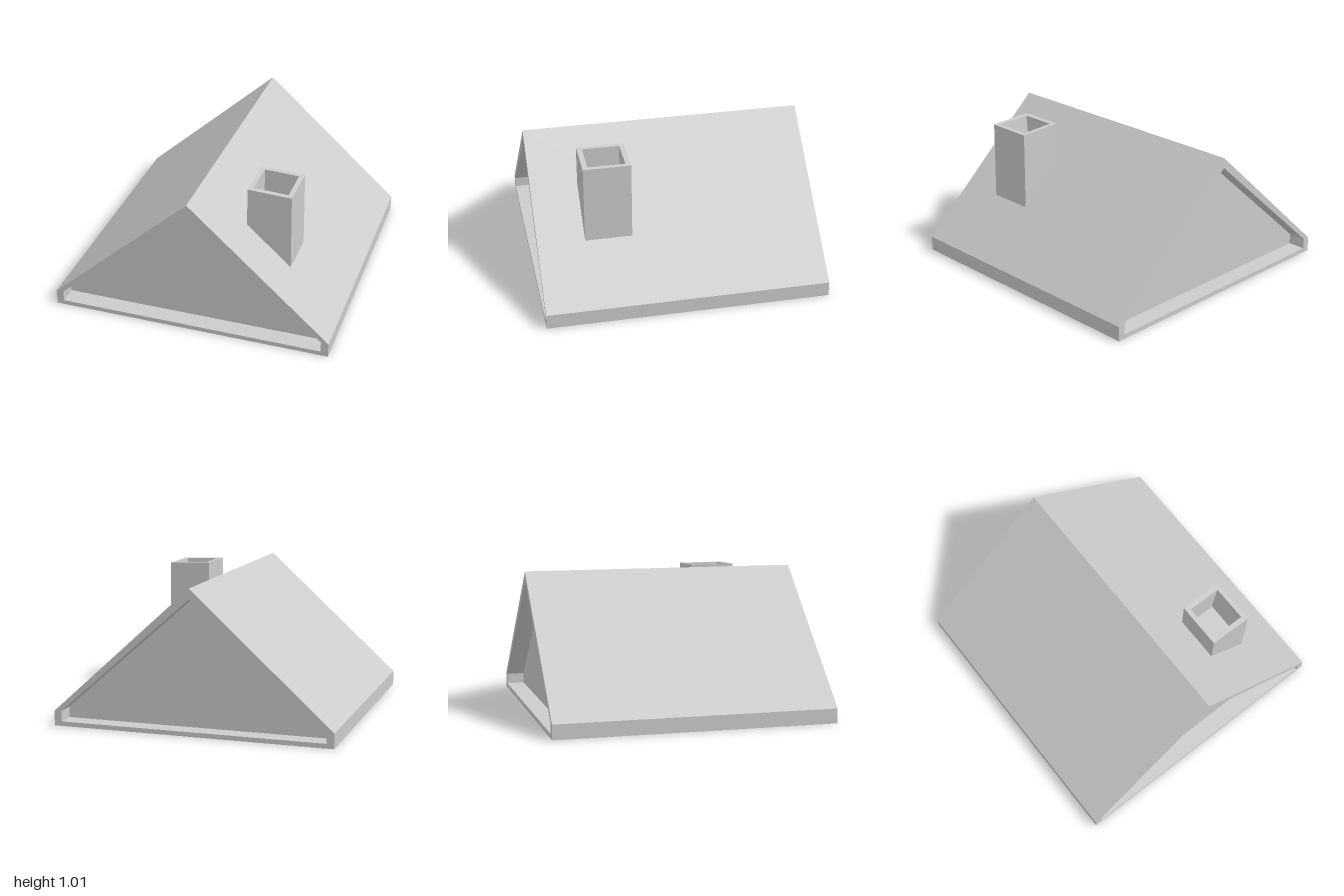
import * as THREE from 'three';

const material = new THREE.MeshStandardMaterial({ color: 0xcccccc, flatShading: true });

// Joins convex rings (counter-clockwise about the axis) into a closed, hard-edged skin.
function loft(name, rings) {
  const pos = [];
  const tri = (...corners) => corners.forEach((p) => pos.push(...p));
  const n = rings[0].length;
  for (let r = 0; r < rings.length - 1; r++) {
    const a = rings[r], b = rings[r + 1];
    for (let i = 0; i < n; i++) {
      const j = (i + 1) % n;
      tri(a[i], a[j], b[j]);
      tri(a[i], b[j], b[i]);
    }
  }
  // end caps
  const first = rings[0], last = rings[rings.length - 1];
  for (let i = 1; i < n - 1; i++) {
    tri(first[0], first[i + 1], first[i]);
    tri(last[0], last[i], last[i + 1]);
  }
  const geometry = new THREE.BufferGeometry();
  geometry.setAttribute('position', new THREE.Float32BufferAttribute(pos, 3));
  geometry.computeVertexNormals();
  const mesh = new THREE.Mesh(geometry, material);
  mesh.name = name;
  return mesh;
}

// Gable outline at depth z
const gable = (halfWidth, base, eave, ridge, z) => [
  [-halfWidth, base, z], [halfWidth, base, z], [halfWidth, eave, z], [0, ridge, z], [-halfWidth, eave, z],
];

// Rectangle whose height may differ between its left and right edges
const rect = (x0, x1, z0, z1, yA, yB = yA) => [
  [x0, yA, z1], [x1, yB, z1], [x1, yB, z0], [x0, yA, z0],
];

export function createModel() {
  const model = new THREE.Group();
  model.name = 'gableRoof';

  // Roof with a recessed panel in each gable end
  const outer = (z) => gable(1, 0, 0.105, 1.012, z);
  const inner = (z) => gable(0.947, 0.032, 0.108, 0.94, z);
  const recess = 0.87;
  model.add(loft('roof', [inner(-recess), inner(-1), outer(-1), outer(1), inner(1), inner(recess)]));

  // Chimney with a slightly tilted rim and a tapering flue
  model.add(loft('chimney', [
    rect(0.317, 0.633, 0.335, 0.667, 0.4),
    rect(0.317, 0.628, 0.335, 0.667, 1.003, 0.99),
    rect(0.35, 0.595, 0.37, 0.63, 1.001, 0.991),
    rect(0.35, 0.57, 0.37, 0.597, 0.7),
  ]));

  return model;
}
